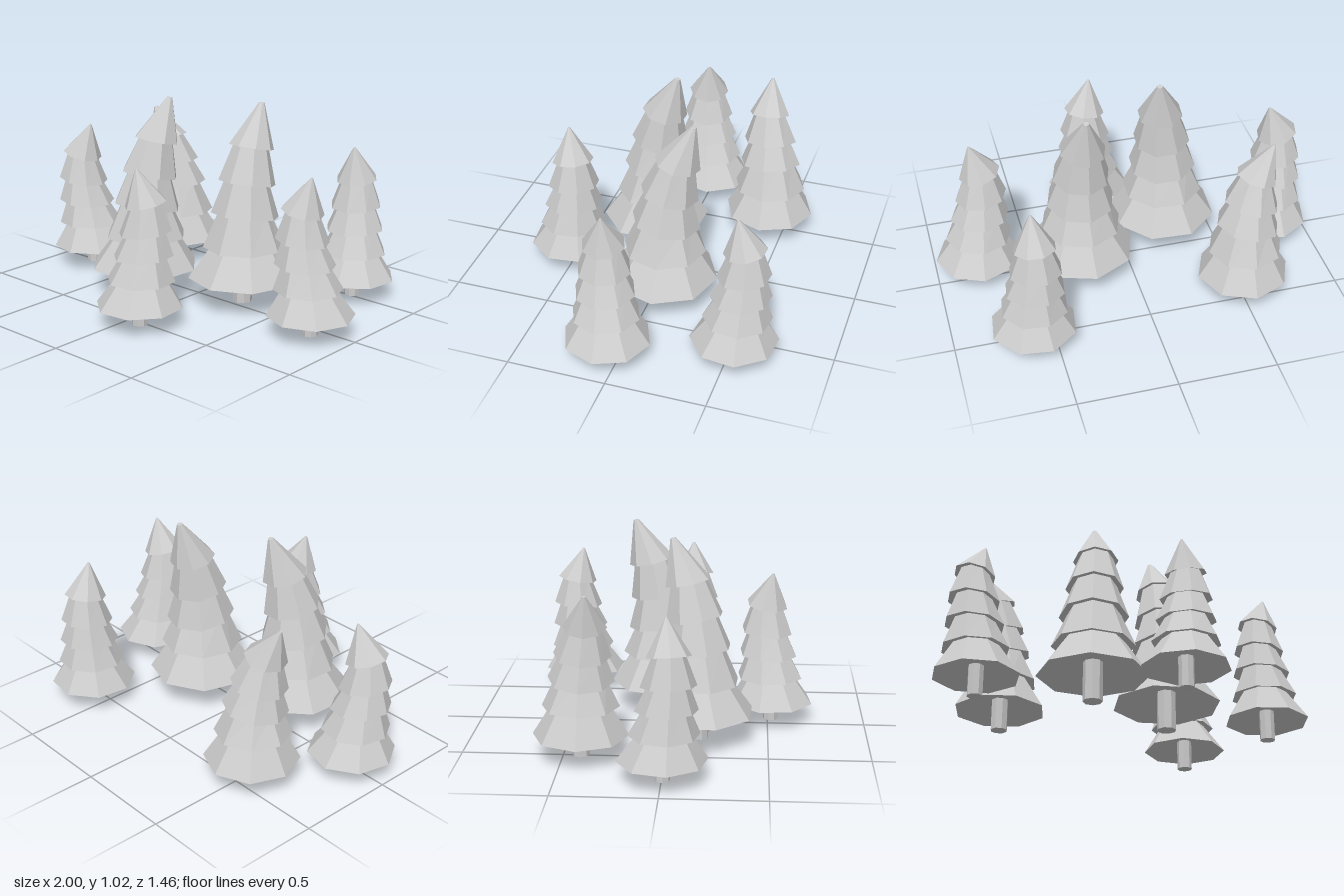
import * as THREE from 'three';

const clay = new THREE.MeshStandardMaterial({ color: 0xcccccc, flatShading: true });
clay.name = 'pale grey';

// Three sizes: height of each tier's rim, rim radii, how far each rim follows the bend,
// neck (top of a tier relative to the rim above) and droop (how much the upper rims tilt)
const SIZES = {
  small: { y: [0.102, 0.233, 0.355, 0.475, 0.615], r: [0.218, 0.17, 0.15, 0.132, 0.106], top: 0.786, tip: 0.005, bend: [0, 0.3, 0.65, 0.95, 1], neck: 0.7, droop: 0.8, trunk: 0.039, foot: 0 },
  medium: { y: [0.115, 0.265, 0.405, 0.532, 0.675], r: [0.236, 0.19, 0.162, 0.14, 0.106], top: 0.843, tip: 0.007, bend: [0, 0.1, 0.25, 0.55, 1], neck: 0.72, droop: 0.6, trunk: 0.043, foot: 0.01 },
  large: { y: [0.145, 0.305, 0.465, 0.63, 0.806], r: [0.28, 0.21, 0.175, 0.147, 0.116], top: 1.02, tip: 0.014, bend: [0, 0.12, 0.22, 0.45, 1], neck: 0.76, droop: 0.6, trunk: 0.049, foot: 0.01 },
};

// x, z: trunk position; lean: offset of the uppermost rim; apex: offset of the tip; turn in degrees
const TREES = [
  { size: 'small', x: -0.785, z: 0.002, lean: [-0.042, 0.035], apex: [0.012, 0.02], turn: -9 },
  { size: 'medium', x: -0.515, z: -0.41, lean: [-0.055, 0.035], apex: [-0.14, 0.045], turn: 0 },
  { size: 'large', x: -0.242, z: 0.153, lean: [0.035, -0.06], apex: [0.06, -0.135], turn: -19 },
  { size: 'large', x: 0.257, z: -0.05, lean: [-0.01, -0.07], apex: [-0.012, -0.15], turn: -5 },
  { size: 'small', x: 0.604, z: -0.523, lean: [-0.018, -0.035], apex: [-0.012, 0.002], turn: -15 },
  { size: 'small', x: 0.078, z: 0.517, lean: [0.022, -0.028], apex: [-0.012, 0.0], turn: 16 },
  { size: 'small', x: 0.781, z: 0.065, lean: [-0.045, 0.022], apex: [0.0, 0.015], turn: 0 },
];

// One ring of branches: an octagonal frustum whose two ends sit on separately tilted frames
function tierGeometry(low, high, rLow, rHigh, turn) {
  const geo = new THREE.CylinderGeometry(rHigh, rLow, 1, 8, 1, false, -turn);
  const p = geo.attributes.position;
  const v = new THREE.Vector3();
  for (let i = 0; i < p.count; i++) {
    v.fromBufferAttribute(p, i);
    const frame = v.y > 0 ? high : low;
    const hub = v.y < 0 && Math.hypot(v.x, v.z) < 1e-4;
    v.y = hub ? rLow * 0.3 : 0; // hollow underside
    v.applyQuaternion(frame.tilt).add(frame.pos);
    p.setXYZ(i, v.x, v.y, v.z);
  }
  geo.computeVertexNormals();
  return geo;
}

function makeTree({ size, x, z, lean, apex, turn }) {
  const s = SIZES[size];
  const tree = new THREE.Group();
  tree.name = size + 'Tree';
  tree.position.set(x, 0, z);
  const angle = THREE.MathUtils.degToRad(turn);

  // Trunk
  const trunkTop = s.y[1];
  const trunk = new THREE.Mesh(new THREE.CylinderGeometry(s.trunk, s.trunk, trunkTop - s.foot, 8, 1, false, -angle), clay);
  trunk.position.y = (trunkTop + s.foot) / 2;
  trunk.name = 'trunk';
  tree.add(trunk);

  // Frames along the bent axis; the upper rims tilt towards the tip
  const tipPoint = new THREE.Vector3(apex[0], s.top, apex[1]);
  const up = new THREE.Vector3(0, 1, 0);
  const frames = s.y.map((y, i) => {
    const pos = new THREE.Vector3(lean[0] * s.bend[i], y, lean[1] * s.bend[i]);
    const tilt = new THREE.Quaternion();
    if (i > 1) {
      const d = tipPoint.clone().sub(pos);
      d.x *= s.droop;
      d.z *= s.droop;
      tilt.setFromUnitVectors(up, d.normalize());
    }
    return { pos, tilt };
  });
  frames.push({ pos: tipPoint, tilt: frames[4].tilt });

  // Branch tiers, the last one closing to the tip
  s.r.forEach((r, i) => {
    const last = i === s.r.length - 1;
    const rHigh = last ? s.tip : s.r[i + 1] * s.neck;
    const high = { pos: frames[i + 1].pos.clone(), tilt: frames[i + 1].tilt };
    if (!last) high.pos.y += 0.015;
    const tier = new THREE.Mesh(tierGeometry(frames[i], high, r, rHigh, angle), clay);
    tier.name = last ? 'topCone' : 'branchTier' + (i + 1);
    tree.add(tier);
  });
  return tree;
}

export function createModel() {
  const grove = new THREE.Group();
  grove.name = 'pineGrove';
  for (const t of TREES) grove.add(makeTree(t));
  return grove;
}
